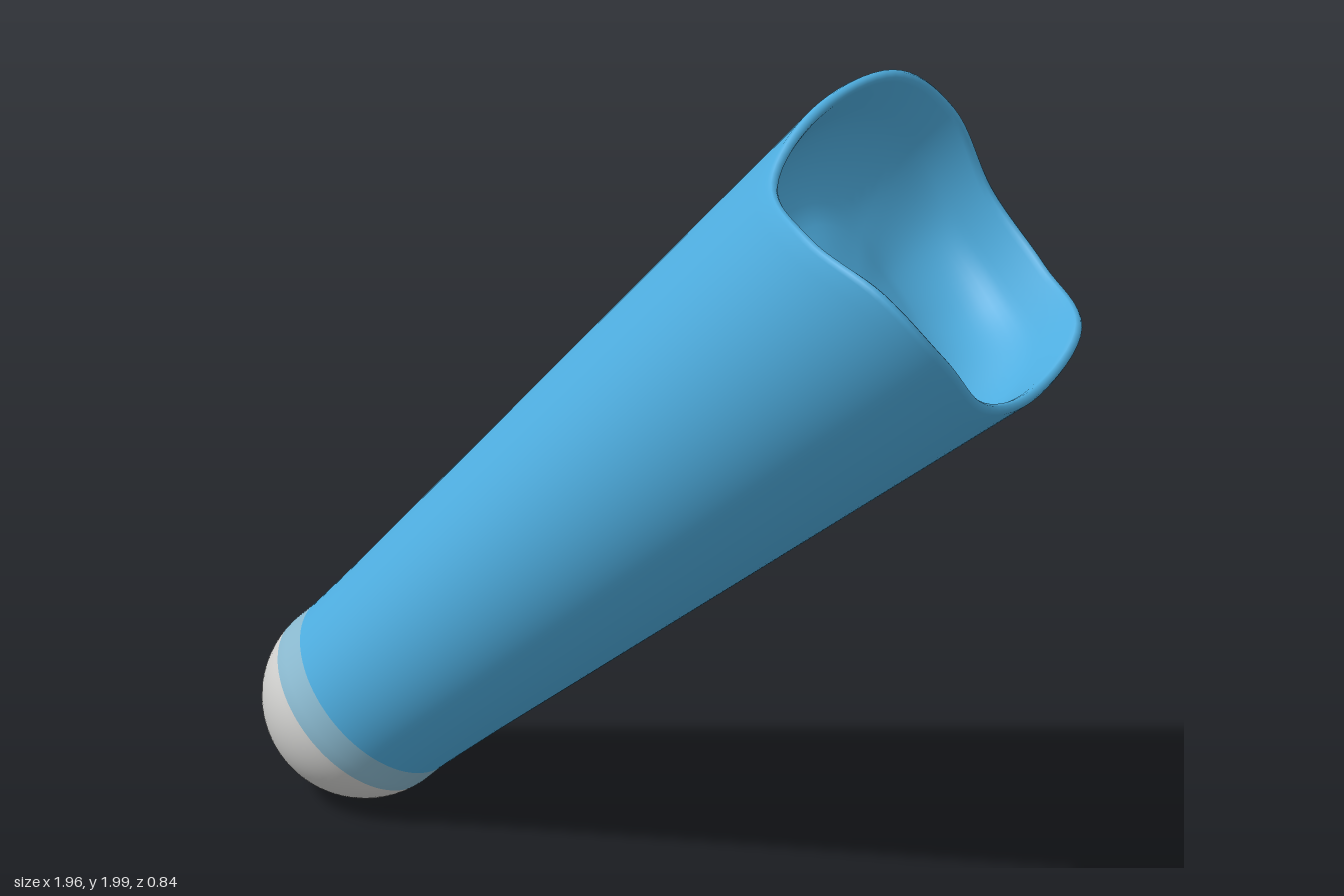
import * as THREE from 'three';
import { mergeVertices } from 'three/addons/utils/BufferGeometryUtils.js';

const SEGMENTS = 96;
const RADIUS = 0.235;   // rounded end
const RIM = 2.03;       // mean rim height along the axis

const mat = (name, color) => {
  const m = new THREE.MeshStandardMaterial({ color });
  m.name = name;
  return m;
};

// Rim height every 30 degrees around the axis, smoothed as a closed curve
const rimHeights = [2.03, 1.945, 2.03, 2.135, 2.11, 2.005, 2.0, 2.06, 1.985, 1.968, 2.065, 2.11];
const rimCurve = new THREE.CatmullRomCurve3(
  rimHeights.map((h, i) => new THREE.Vector3(i, h, 0)), true, 'catmullrom', 0.5);
const rimShift = (angle) => {
  const turn = angle / (2 * Math.PI);
  return rimCurve.getPoint(turn - Math.floor(turn)).y - RIM;
};

// Lathe around y from [radius, height] pairs
const lathe = (points) =>
  new THREE.LatheGeometry(points.map(([r, y]) => new THREE.Vector2(r, y)), SEGMENTS);

// Points on the end sphere between two heights
function spherePoints(from, to, steps) {
  const a = Math.asin(from / RADIUS), b = Math.asin(to / RADIUS);
  return Array.from({ length: steps + 1 }, (_, i) => {
    const t = a + (b - a) * i / steps;
    return [Math.max(0, RADIUS * Math.cos(t)), RADIUS * Math.sin(t)];
  });
}

function sleeveGeometry() {
  const cone = (y) => 0.227 + 0.095 * y;
  const points = [[RADIUS, 0.052], [0.24, 0.12], [0.245, 0.18], [cone(0.25), 0.25]];
  // outer wall
  for (const y of [0.4, 0.8, 1.2, 1.5, 1.65, 1.72, 1.78, 1.84, 1.9, 1.96]) points.push([cone(y), y]);
  // rounded rim
  points.push([0.418, 2.012], [0.415, 2.024], [0.405, RIM], [0.395, 2.024], [0.391, 2.01]);
  // inner wall, then a wide fillet into the floor
  points.push([0.386, 1.96]);
  for (let i = 0; i <= 12; i++) {
    const a = (i / 12) * Math.PI / 2;
    points.push([0.19 + 0.192 * Math.cos(a), 1.92 - 0.18 * Math.sin(a)]);
  }
  points.push([0.1, 1.74], [0, 1.74]);

  let g = lathe(points);
  // wave the upper end, keeping it on the cone
  const p = g.attributes.position;
  for (let i = 0; i < p.count; i++) {
    const x = p.getX(i), y = p.getY(i), z = p.getZ(i), r = Math.hypot(x, z);
    if (y < 1.65 || r < 0.15) continue;
    const shift = rimShift(Math.atan2(z, -x)) * THREE.MathUtils.smoothstep(y, 1.65, 2.0);
    const k = (r + 0.095 * shift) / r;
    p.setXYZ(i, x * k, y + shift, z * k);
  }
  // weld the seam for smooth normals
  g.deleteAttribute('uv');
  g.deleteAttribute('normal');
  g = mergeVertices(g, 1e-5);
  g.computeVertexNormals();
  return g;
}

export function createModel() {
  const blue = mat('blue', 0x4eaddf);
  const paleBlue = mat('pale blue', 0x8ab9cf);
  const white = mat('off white', 0xd2d2d0);

  const body = new THREE.Group();
  body.name = 'tiltedBody';
  const add = (name, geometry, material) => {
    const mesh = new THREE.Mesh(geometry, material);
    mesh.name = name;
    body.add(mesh);
  };

  add('roundedTip', lathe(spherePoints(-RADIUS, -0.03, 20)), white);
  add('band', lathe([...spherePoints(-0.03, 0, 4), [RADIUS, 0.052]]), paleBlue);
  add('sleeve', sleeveGeometry(), blue);

  // lean the axis 45 degrees toward +x
  body.rotation.z = -Math.PI / 4;
  body.position.set(-0.75, 0.236, 0);

  const model = new THREE.Group();
  model.name = 'model';
  model.add(body);
  return model;
}
